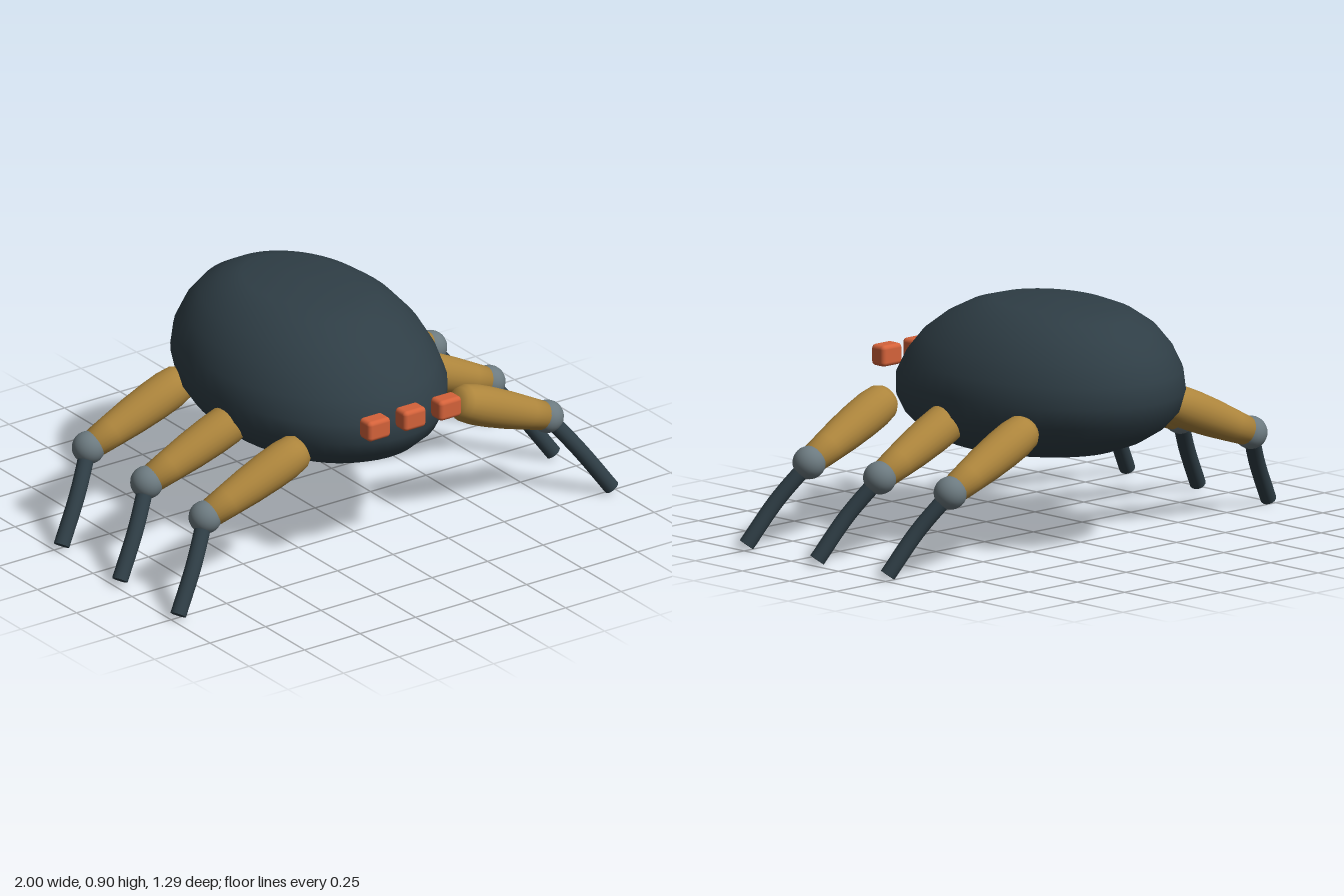
import * as THREE from 'three';
import { mergeVertices } from 'three/addons/utils/BufferGeometryUtils.js';
import { RoundedBoxGeometry } from 'three/addons/geometries/RoundedBoxGeometry.js';

const material = (name, color) => Object.assign(new THREE.MeshStandardMaterial({ color }), { name });

function part(name, geometry, mat, parent) {
  const mesh = new THREE.Mesh(geometry, mat);
  mesh.name = name;
  parent.add(mesh);
  return mesh;
}

// Egg-shaped shell: stacked oval rings [y, half length, centre z]
function shellGeometry() {
  const rings = [
    [0.32, 0, 0.02], [0.33, 0.28, 0.02], [0.35, 0.385, 0.015], [0.387, 0.475, 0.005],
    [0.44, 0.55, -0.01], [0.5, 0.595, -0.025], [0.577, 0.607, -0.04], [0.657, 0.58, -0.06],
    [0.737, 0.525, -0.075], [0.807, 0.445, -0.093], [0.857, 0.35, -0.1],
    [0.886, 0.25, -0.105], [0.9, 0, -0.11],
  ];
  const sides = 48;
  let geo = new THREE.LatheGeometry(rings.map(([y, r]) => new THREE.Vector2(r, y)), sides);
  const pos = geo.attributes.position;
  for (let i = 0; i < pos.count; i++) {
    pos.setX(i, pos.getX(i) * 0.752);
    pos.setZ(i, pos.getZ(i) + rings[i % rings.length][2]);
  }
  geo.deleteAttribute('uv');
  geo.deleteAttribute('normal');
  geo = mergeVertices(geo, 1e-5);
  geo.computeVertexNormals();
  return geo;
}

// Thigh profile along its length, from the blunt hip end to the knee
function thighGeometry(length) {
  const profile = [[0, 0], [0.03, 0.002], [0.055, 0.012], [0.069, 0.035], [0.076, 0.09],
    [0.076, 0.16], [0.071, 0.26], [0.062, 0.36], [0.052, length], [0, length]];
  return new THREE.LatheGeometry(profile.map(([r, y]) => new THREE.Vector2(r, y)), 24);
}

function makeLeg(side, z, mats) {
  const leg = new THREE.Group();
  leg.position.z = z;
  const hip = new THREE.Vector3(side * 0.343, 0.497, 0.023);
  const knee = new THREE.Vector3(side * 0.77, 0.315, 0);
  const axis = knee.clone().sub(hip);

  const thigh = part('thigh', thighGeometry(axis.length()), mats.thigh, leg);
  thigh.position.copy(hip);
  thigh.quaternion.setFromUnitVectors(new THREE.Vector3(0, 1, 0), axis.normalize());

  part('knee', new THREE.SphereGeometry(0.062, 24, 16), mats.joint, leg).position.copy(knee);

  // Curved shin with a flat cap at the foot
  const curve = new THREE.CatmullRomCurve3([
    knee, new THREE.Vector3(side * 0.87, 0.175, 0.07), new THREE.Vector3(side * 0.976, 0.017, 0.12),
  ]);
  part('shin', new THREE.TubeGeometry(curve, 14, 0.03, 16), mats.shell, leg);
  const sole = part('footSole', new THREE.CircleGeometry(0.03, 16), mats.shell, leg);
  sole.position.copy(curve.getPoint(1));
  sole.quaternion.setFromUnitVectors(new THREE.Vector3(0, 0, 1), curve.getTangent(1));
  return leg;
}

export function createModel() {
  const model = new THREE.Group();
  model.name = 'sixLeggedWalker';
  const mats = {
    shell: material('dark slate', 0x2f3e46),
    thigh: material('ochre', 0xad853c),
    joint: material('grey', 0x6c7a80),
    eye: material('orange', 0xd4623a),
  };

  part('bodyShell', shellGeometry(), mats.shell, model);

  // Row of three sensor eyes just ahead of the body
  for (const x of [-0.16, 0, 0.16]) {
    part('eye', new RoundedBoxGeometry(0.1, 0.08, 0.07, 3, 0.016), mats.eye, model)
      .position.set(x, 0.6, 0.612);
  }

  // Three pairs of legs
  const rows = { front: 0.392, middle: 0.018, rear: -0.356 };
  for (const [row, z] of Object.entries(rows)) {
    for (const side of [1, -1]) {
      const leg = makeLeg(side, z, mats);
      leg.name = row + (side > 0 ? 'LeftLeg' : 'RightLeg');
      model.add(leg);
    }
  }
  return model;
}
